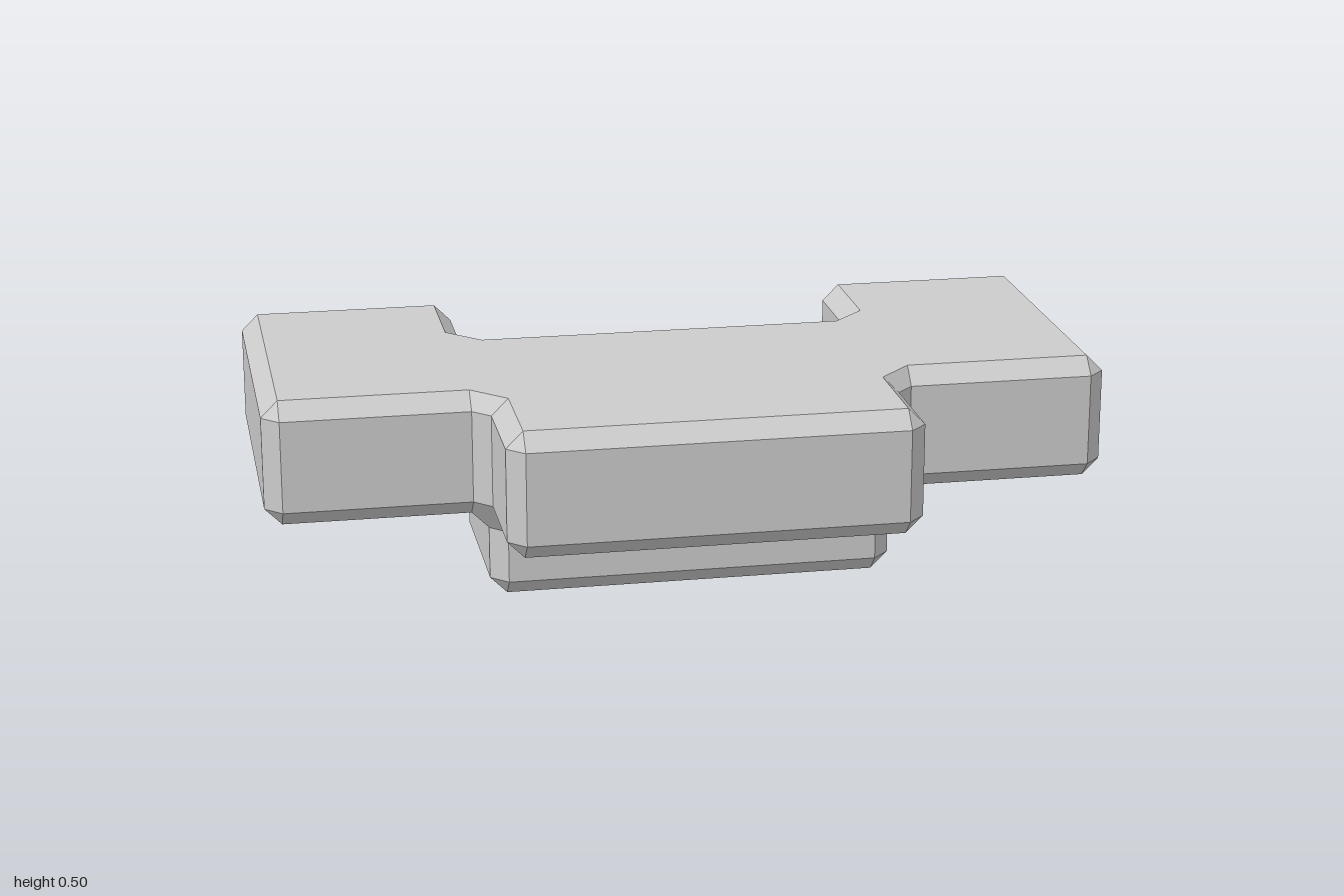
import * as THREE from 'three';

// Plan outlines as [x, z], right half, running from the back centre to the front centre
const WALL = [
  [0, -0.235], [0.44, -0.235], [0.48, -0.275], [0.48, -0.515], [0.52, -0.555],
  [0.96, -0.555], [1, -0.515], [1, 0.195], [0.96, 0.235], [0.52, 0.235],
  [0.48, 0.275], [0.48, 0.515], [0.44, 0.555], [0, 0.555],
];
// Same corners, drawn in by the bevel width
const INSET = [
  [0, -0.195], [0.44, -0.195], [0.52, -0.275], [0.52, -0.515], [0.52, -0.515],
  [0.96, -0.515], [0.96, -0.515], [0.96, 0.195], [0.96, 0.195], [0.52, 0.195],
  [0.44, 0.275], [0.44, 0.515], [0.44, 0.515], [0, 0.515],
];
const FOOT = [[0, -0.235], [0.44, -0.235], [0.48, -0.195], [0.48, 0.195], [0.44, 0.235], [0, 0.235]];
const FOOT_INSET = [[0, -0.195], [0.44, -0.195], [0.44, -0.195], [0.44, 0.195], [0.44, 0.195], [0, 0.195]];
// Foot outline flared out to the underside of the plate
const FLARE = [[0, -0.235], [0.44, -0.235], [0.52, -0.195], [0.52, 0.195], [0.44, 0.275], [0, 0.275]];

const at = (ring, y) => ring.map(([x, z]) => [x, y, z]);

// Collects flat faces and their mirror images across x = 0
class Faces {
  positions = [];

  face(points) {
    const p = points.filter((a, i) => {
      const b = points[(i + 1) % points.length];
      return a.some((v, k) => Math.abs(v - b[k]) > 1e-6);
    });
    for (let i = 1; i < p.length - 1; i++) {
      const tri = [p[0], p[i], p[i + 1]];
      this.positions.push(...tri.flat());
      for (const [x, y, z] of tri.reverse()) this.positions.push(-x, y, z);
    }
  }

  // Quads between two rings, optionally only over some segments
  strip(lower, upper, from = 0, to = lower.length - 1) {
    for (let i = from; i < to; i++) this.face([lower[i + 1], lower[i], upper[i], upper[i + 1]]);
  }

  // Corner patch fanned around its middle
  patch(points) {
    const mid = [0, 1, 2].map((k) => points.reduce((s, p) => s + p[k], 0) / points.length);
    points.forEach((p, i) => this.face([mid, p, points[(i + 1) % points.length]]));
  }

  mesh(name) {
    const geometry = new THREE.BufferGeometry();
    geometry.setAttribute('position', new THREE.Float32BufferAttribute(this.positions, 3));
    geometry.computeVertexNormals();
    const mesh = new THREE.Mesh(geometry, new THREE.MeshStandardMaterial({ color: 0xcccccc, flatShading: true }));
    mesh.name = name;
    return mesh;
  }
}

export function createModel() {
  const under = at(INSET, 0.205);
  const low = at(WALL, 0.245);
  const high = at(WALL, 0.465);
  const top = at(INSET, 0.505);

  // Plate: walls, upper bevel, and lower bevel around the wings and the front tongue
  const plate = new Faces();
  plate.strip(low, high);
  plate.strip(high, top);
  plate.strip(under, low, 2, 9);
  plate.strip(under, low, 10, 13);
  // Top face: wing, middle, step between them, tongue
  plate.face([top[3], top[9], top[7], top[5]]);
  plate.face([top[0], [0, 0.505, 0.275], top[10], top[1]]);
  plate.face([top[1], top[10], top[9], top[2]]);
  plate.face([[0, 0.505, 0.275], top[13], top[11], top[10]]);
  // Undersides of wing and tongue
  plate.face([under[3], under[5], under[7], under[9]]);
  plate.face([[0, 0.205, 0.275], under[10], under[11], under[13]]);

  // Base block: bottom, bevel, walls, flush back, flared sides and front
  const base = new Faces();
  const floor = at(FOOT_INSET, 0);
  const neck = at(FOOT, 0.165);
  const flare = at(FLARE, 0.205);
  base.face([floor[0], floor[1], floor[3], floor[5]]);
  base.strip(floor, at(FOOT, 0.04));
  base.strip(at(FOOT, 0.04), neck);
  base.strip(neck, low, 0, 1);
  base.strip(neck, flare, 2, 3);
  base.strip(neck, flare, 4, 5);
  // Six-sided patches in the inner corners
  base.patch([neck[4], neck[3], flare[3], low[9], low[10], flare[4]]);
  base.patch([neck[2], neck[1], low[1], low[2], under[2], flare[2]]);

  const group = new THREE.Group();
  group.name = 'beveledBlock';
  group.add(plate.mesh('plate'), base.mesh('base'));
  return group;
}
